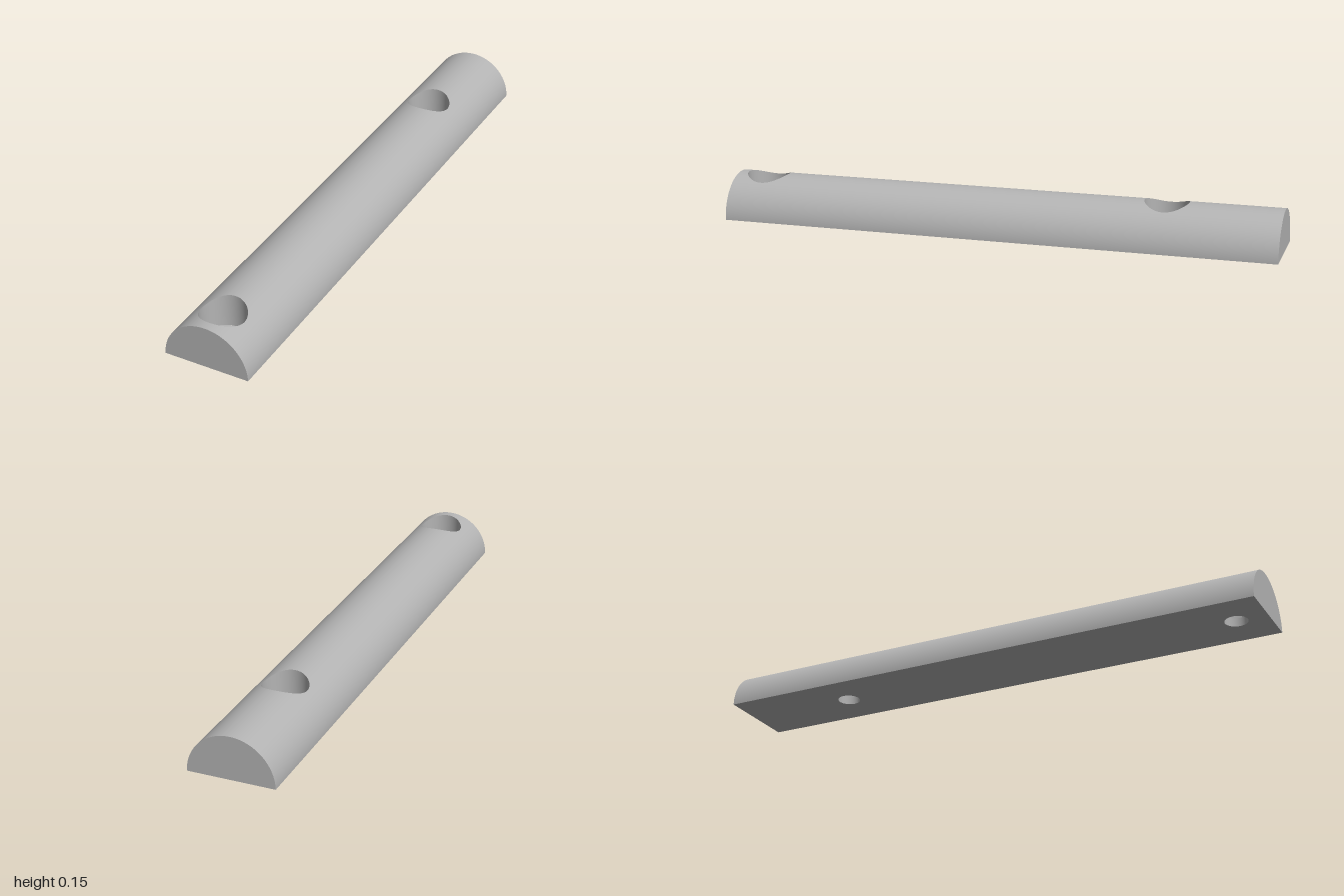
import * as THREE from 'three';
import { ParametricGeometry } from 'three/addons/geometries/ParametricGeometry.js';

const R = 0.151;               // radius of the half-round bar
const HALF = 1;                // half of its length
const HOLES = [-0.595, 0.89];  // hole centres along z
const BORE = 0.04;             // through-hole radius
const SINK = 0.078;            // counterbore radius
const FLOOR = 0.03;            // height of the counterbore floor
const PATCH = 0.1;             // half length of the curved patch around a hole
const SEG = 48;

// Point on the curved top at an angle from vertical
const onTop = (theta, z, p) => p.set(R * Math.sin(theta), R * Math.cos(theta), z);

// Walk around a square from -1 to 1, u = 0..1
function square(u) {
  const side = Math.min(3, Math.floor(u * 4));
  const t = (u * 4 - side) * 2 - 1;
  return [[1, t], [-t, 1], [-1, -t], [t, -1]][side];
}

// Plain stretch of curved top
const strip = (z0, z1) => new ParametricGeometry((u, v, p) =>
  onTop((v - 0.5) * Math.PI, z0 + (z1 - z0) * u, p), 1, SEG);

// Curved top around a hole, lofted from the round rim to a square border
const patch = (zc) => new ParametricGeometry((u, v, p) => {
  const [a, b] = square(u);
  const len = Math.hypot(a, b);
  const rimTheta = Math.asin(SINK * a / len / R);
  const rimZ = SINK * b / len;
  onTop(rimTheta + (a * Math.PI / 2 - rimTheta) * v, zc + rimZ + (b * PATCH - rimZ) * v, p);
}, SEG * 4, 16);

// Inward-facing round wall from y0 up to a height given by x
const wall = (r, zc, y0, topAt) => new ParametricGeometry((u, v, p) => {
  const [a, b] = square(u);
  const len = Math.hypot(a, b);
  const x = r * a / len;
  p.set(x, y0 + (topAt(x) - y0) * v, zc + r * b / len);
}, SEG * 4, 1);

export function createModel() {
  const group = new THREE.Group();
  const grey = new THREE.MeshStandardMaterial({ color: 0xb4b4b4 });
  grey.name = 'grey';
  const add = (name, geometry) => {
    const mesh = new THREE.Mesh(geometry, grey);
    mesh.name = name;
    group.add(mesh);
  };

  // Curved top and countersunk holes
  let start = -HALF;
  for (const z of HOLES) {
    add('curvedTop', strip(start, z - PATCH));
    add('curvedTopAroundHole', patch(z));
    start = z + PATCH;
    add('counterboreWall', wall(SINK, z, FLOOR, (x) => Math.sqrt(R * R - x * x)));
    add('boreWall', wall(BORE, z, 0, () => FLOOR));
    add('counterboreFloor', new THREE.RingGeometry(BORE, SINK, 64).rotateX(-Math.PI / 2).translate(0, FLOOR, z));
  }
  add('curvedTop', strip(start, HALF));

  // Half-round ends
  const end = new THREE.Shape();
  end.absarc(0, 0, R, 0, Math.PI, false);
  add('frontEnd', new THREE.ShapeGeometry(end, SEG).translate(0, 0, HALF));
  add('backEnd', new THREE.ShapeGeometry(end, SEG).rotateY(Math.PI).translate(0, 0, -HALF));

  // Flat underside with the through holes
  const base = new THREE.Shape([[-R, -HALF], [R, -HALF], [R, HALF], [-R, HALF]]
    .map(([x, y]) => new THREE.Vector2(x, y)));
  for (const z of HOLES) base.holes.push(new THREE.Path().absarc(0, z, BORE, 0, Math.PI * 2, true));
  add('underside', new THREE.ShapeGeometry(base, 32).rotateX(Math.PI / 2));

  return group;
}
